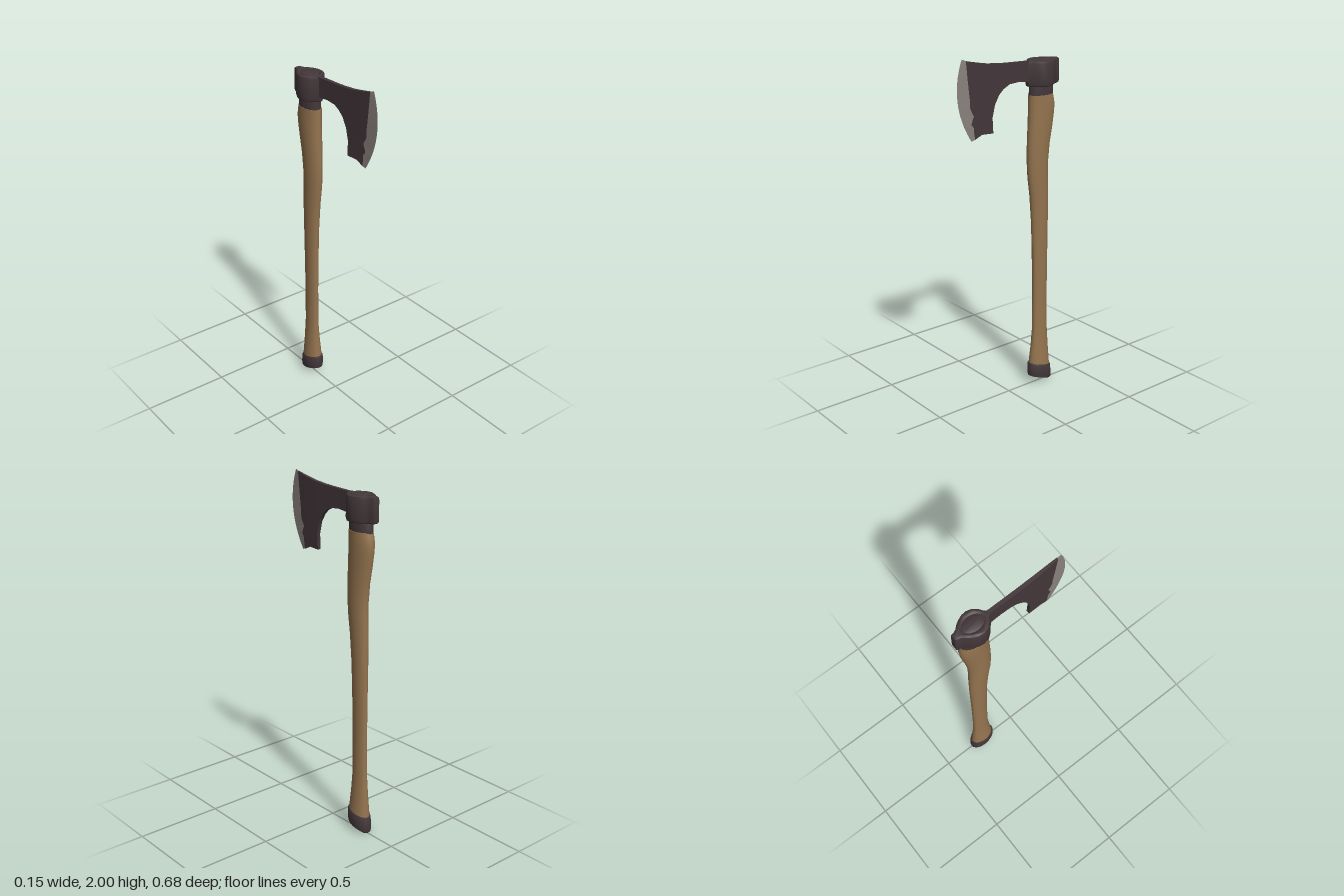
import * as THREE from 'three';
import { toCreasedNormals } from 'three/addons/utils/BufferGeometryUtils.js';

const iron = new THREE.MeshStandardMaterial({ name: 'dark iron', color: 0x43373a });
const steel = new THREE.MeshStandardMaterial({ name: 'ground steel', color: 0x8a827d });
const wood = new THREE.MeshStandardMaterial({ name: 'wood', color: 0x94744f });

function build(positions, index, crease) {
  const g = new THREE.BufferGeometry();
  g.setAttribute('position', new THREE.Float32BufferAttribute(positions, 3));
  g.setIndex(index);
  return toCreasedNormals(g, crease);
}

// Closed loft of tilted ellipses, bottom to top: [yFront, yBack, zFront, zBack, halfX]
function loft(rings, sides = 20) {
  const pos = [], idx = [];
  for (const [yf, yb, zf, zb, hx] of rings) {
    for (let j = 0; j < sides; j++) {
      const a = (j / sides) * Math.PI * 2, c = Math.cos(a);
      pos.push(hx * Math.sin(a), (yf + yb) / 2 + (yf - yb) / 2 * c, (zf + zb) / 2 + (zf - zb) / 2 * c);
    }
  }
  for (let i = 0; i < rings.length - 1; i++) {
    for (let j = 0; j < sides; j++) {
      const k = (j + 1) % sides, a = i * sides + j, b = i * sides + k;
      idx.push(a, b, b + sides, a, b + sides, a + sides);
    }
  }
  const top = (rings.length - 1) * sides;
  for (let j = 1; j < sides - 1; j++) {
    idx.push(0, j + 1, j, top, top + j, top + j + 1);
  }
  return build(pos, idx, 0.7);
}

// Blade stations, eye to edge: [zTop, yTop, zBottom, yBottom, bulge, halfThickness]
const stations = [
  [-0.15, 1.943, -0.15, 1.82, 0, 0.014],
  [-0.12, 1.945, -0.12, 1.833, 0, 0.011],
  [-0.06, 1.947, -0.06, 1.84, 0, 0.011],
  [0.0, 1.949, 0.005, 1.835, 0, 0.011],
  [0.04, 1.951, 0.045, 1.815, 0, 0.011],
  [0.07, 1.953, 0.075, 1.787, 0, 0.011],
  [0.10, 1.956, 0.103, 1.74, 0, 0.011],
  [0.14, 1.96, 0.12, 1.67, 0, 0.0105],
  [0.17, 1.965, 0.115, 1.585, 0, 0.01],
  [0.235, 1.978, 0.19, 1.588, 0, 0.008],
  [0.287, 1.99, 0.233, 1.567, 0.004, 0.005],
  [0.31, 2.0, 0.254, 1.56, 0.058, 0.0004],
];
const border = stations.length - 2;
const rows = 20;
// Worn, uneven line where the ground edge begins
const wear = { 11: 0.004, 12: 0.004, 13: -0.004, 14: -0.013, 15: 0, 16: 0.01, 17: -0.003 };

function bladePart(from, to) {
  const pos = [], idx = [], stride = (rows + 1) * 2;
  for (let i = from; i <= to; i++) {
    const [zt, yt, zb, yb, bulge, h] = stations[i];
    for (let j = 0; j <= rows; j++) {
      const t = j / rows;
      const z = zt + (zb - zt) * t + bulge * 4 * t * (1 - t) + (i === border ? wear[j] || 0 : 0);
      const y = yt + (yb - yt) * t;
      pos.push(h, y, z, -h, y, z);
    }
  }
  const quad = (a, b, c, d) => idx.push(a, b, c, a, c, d);
  for (let i = 0; i < to - from; i++) {
    const s = i * stride;
    for (let j = 0; j < rows; j++) {
      const a = s + j * 2, b = a + stride;
      quad(a, b, b + 2, a + 2);
      quad(a + 1, a + 3, b + 3, b + 1);
    }
    const e = s + rows * 2;
    quad(s, s + 1, s + stride + 1, s + stride);
    quad(e, e + stride, e + stride + 1, e + 1);
  }
  // Thin outer face of the last station
  for (let j = 0; j < rows; j++) {
    const a = (to - from) * stride + j * 2;
    quad(a, a + 1, a + 3, a + 2);
  }
  return build(pos, idx, 0.5);
}

// Swollen eye socket with a flat poll, outlined by [z, halfX] and mirrored
function socketGeometry() {
  const half = [[-0.125, 0.012], [-0.14, 0.024], [-0.155, 0.046], [-0.18, 0.066], [-0.21, 0.074],
    [-0.24, 0.071], [-0.265, 0.06], [-0.287, 0.046], [-0.302, 0.031], [-0.316, 0.024], [-0.334, 0.021], [-0.34, 0.017]];
  const right = half.map(([z, x]) => new THREE.Vector2(x, -z));
  const left = half.map(([z, x]) => new THREE.Vector2(-x, -z)).reverse();
  const shape = new THREE.Shape([...right, ...left]);
  shape.holes.push(new THREE.Path().absellipse(0, 0.222, 0.04, 0.058, 0, Math.PI * 2, true));
  const bevel = 0.016;
  const g = new THREE.ExtrudeGeometry(shape, {
    depth: 0.142 - bevel * 2, bevelThickness: bevel, bevelSize: 0.01, bevelOffset: -0.01,
    bevelSegments: 2, curveSegments: 16,
  });
  g.rotateX(-Math.PI / 2).translate(0, 1.803 + bevel, 0);
  return toCreasedNormals(g, 0.6);
}

export function createModel() {
  const group = new THREE.Group();
  const add = (name, geometry, material) => {
    const mesh = new THREE.Mesh(geometry, material);
    mesh.name = name;
    group.add(mesh);
  };

  // Curved wooden haft
  add('haft', loft([
    [0.11, 0.08, -0.158, -0.305, 0.047],
    [0.15, 0.13, -0.162, -0.300, 0.044],
    [0.24, 0.23, -0.172, -0.292, 0.036],
    [0.36, 0.36, -0.180, -0.284, 0.028],
    [0.60, 0.60, -0.179, -0.281, 0.028],
    [0.85, 0.85, -0.173, -0.281, 0.031],
    [1.02, 1.02, -0.167, -0.281, 0.034],
    [1.18, 1.18, -0.154, -0.280, 0.038],
    [1.29, 1.29, -0.139, -0.276, 0.040],
    [1.37, 1.37, -0.134, -0.276, 0.042],
    [1.47, 1.47, -0.134, -0.285, 0.044],
    [1.57, 1.57, -0.138, -0.303, 0.047],
    [1.64, 1.64, -0.141, -0.313, 0.049],
    [1.69, 1.69, -0.142, -0.317, 0.050],
    [1.73, 1.73, -0.142, -0.309, 0.050],
    [1.753, 1.753, -0.143, -0.302, 0.050],
  ]), wood);

  // Slanted butt cap
  add('buttCap', loft([
    [0.046, 0.0, -0.168, -0.306, 0.038],
    [0.052, 0.01, -0.155, -0.315, 0.049],
    [0.075, 0.035, -0.152, -0.316, 0.053],
    [0.125, 0.09, -0.153, -0.309, 0.052],
    [0.134, 0.099, -0.157, -0.306, 0.048],
  ]), iron);

  // Dark collar passing up through the eye, ending in a low dome
  add('collar', loft([
    [1.745, 1.745, -0.146, -0.304, 0.047],
    [1.80, 1.80, -0.148, -0.302, 0.048],
    [1.83, 1.83, -0.152, -0.292, 0.046],
    [1.925, 1.925, -0.153, -0.292, 0.046],
    [1.942, 1.942, -0.160, -0.285, 0.041],
    [1.948, 1.948, -0.178, -0.267, 0.026],
  ]), iron);

  // Axe head
  add('eyeSocket', socketGeometry(), iron);
  add('blade', bladePart(0, border), iron);
  add('cuttingEdge', bladePart(border, border + 1), steel);
  return group;
}
